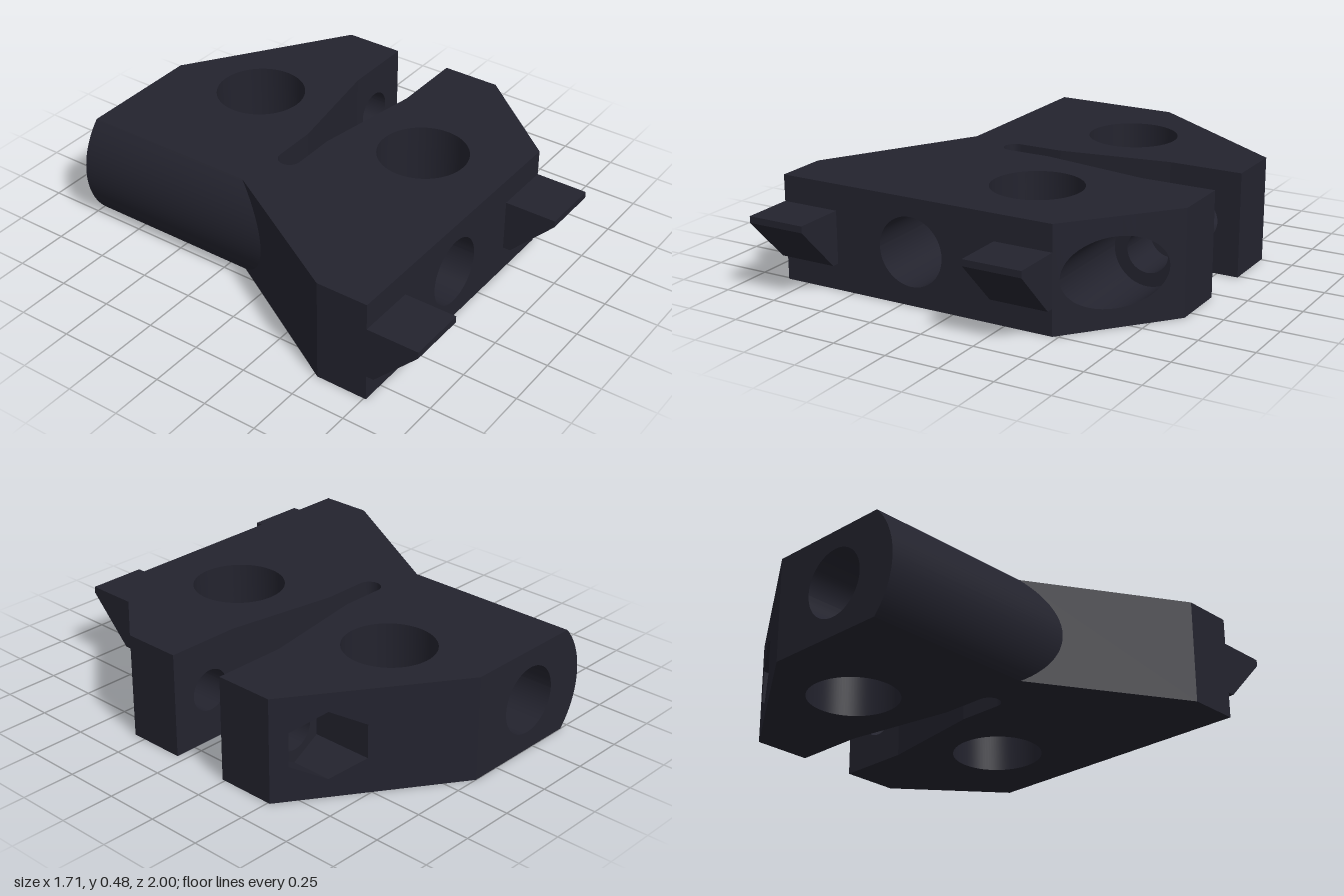
import * as THREE from 'three';
import { toCreasedNormals } from 'three/addons/utils/BufferGeometryUtils.js';

const H = 0.48, MID = H / 2;      // plate height, height of the cross bores
const BORE = -0.205, SCREW = 0.65; // x of the two bores that run front to back
const SPLIT_L = -0.04, SPLIT_R = 0.43;

const half = (x, c, r) => Math.sqrt(Math.max(0, r * r - (x - c) ** 2));
const arc = (c, r, n = 26) => Array.from({ length: n + 1 }, (_, i) => c - r * Math.cos((Math.PI * i) / n));

// Plan outline, as z for a given x
const sideSlant = x => 0.52 - (x + 0.855) * 1.705;
const backEdge = x => (x < 0.135 ? -1 : -1 + (x - 0.135) * 0.685);
const frontEdge = x => (x < 0.475 ? 0.76 : 0.76 - (x - 0.475) * 1.2);
const slotHalf = x => (x < BORE ? half(x, BORE, 0.0525) : 0.0525);
const flare = x => 0.167 * Math.min(Math.max(x, 0), 0.51);
const slotBack = x => -0.0975 - slotHalf(x) - flare(x);
const slotFront = x => -0.0975 + slotHalf(x) + flare(x);

// Hole half-heights at a given x
const bore = x => half(x, BORE, 0.155);
const screw = x => half(x, SCREW, 0.095);
const counterbore = x => half(x, SCREW, 0.155);
const hex = x => 0.155 - Math.abs(x - SCREW) * Math.tan(Math.PI / 6);

// Solid swept along x whose y and z limits are functions of x
function sweep(xs, a, b, lo, hi, back, front) {
  const list = [...new Set([a, ...xs.filter(x => x > a + 1e-5 && x < b - 1e-5), b])].sort((p, q) => p - q);
  const pos = [];
  const quad = (p, q, r, s) => pos.push(...p, ...q, ...r, ...p, ...r, ...s);
  const rings = list.map(x => [
    [x, lo(x), front(x)], [x, lo(x), back(x)], [x, hi(x), back(x)], [x, hi(x), front(x)]]);
  for (let i = 0; i < rings.length - 1; i++) {
    const r = rings[i], s = rings[i + 1];
    for (let k = 0; k < 4; k++) quad(r[k], r[(k + 1) % 4], s[(k + 1) % 4], s[k]);
  }
  const f = rings[0], e = rings[rings.length - 1];
  quad(f[3], f[2], f[1], f[0]);
  quad(e[0], e[1], e[2], e[3]);
  const g = new THREE.BufferGeometry();
  g.setAttribute('position', new THREE.Float32BufferAttribute(pos, 3));
  return g;
}

export function createModel() {
  const model = new THREE.Group();
  model.name = 'clampPlate';
  const dark = new THREE.MeshStandardMaterial({ color: 0x23232e });
  dark.name = 'darkPlastic';
  const add = (name, geometry) => {
    const mesh = new THREE.Mesh(toCreasedNormals(geometry, 0.15), dark);
    mesh.name = name;
    model.add(mesh);
  };
  const zero = () => 0, top = () => H;

  // Block pierced by a hole: one sweep above it and one below
  const pierced = (name, xs, a, b, hole, back, front) => {
    add(name + 'Upper', sweep(xs, a, b, x => MID + hole(x), top, back, front));
    add(name + 'Lower', sweep(xs, a, b, zero, x => MID - hole(x), back, front));
  };

  // Left part: slanted wing, rounded edge around the long bore, slot end
  const ROUND = 0.345, flat = BORE - half(MID, 0, ROUND);
  const flatX = BORE - Math.sqrt(ROUND ** 2 - MID ** 2);
  add('slantedWing', sweep([], -0.855, flatX, zero, top, sideSlant, frontEdge));
  add('roundedEdge', sweep(arc(BORE, ROUND, 48), BORE - ROUND, flatX,
    x => MID - Math.min(MID, half(x, BORE, ROUND)), x => MID + Math.min(MID, half(x, BORE, ROUND)),
    backEdge, sideSlant));
  const boreXs = [...arc(BORE, 0.155), ...arc(BORE, 0.0525).filter(x => x <= BORE)];
  const slotEnd = BORE - 0.0525;
  pierced('boreBlock', boreXs, flatX, slotEnd, bore, backEdge, frontEdge);
  pierced('boreBackArm', boreXs, slotEnd, SPLIT_L, bore, backEdge, slotBack);
  pierced('boreFrontArm', boreXs, slotEnd, SPLIT_L, bore, slotFront, frontEdge);

  // Middle part: two arms, each with a large vertical hole
  const arm = (name, points, holeZ) => {
    const shape = new THREE.Shape(points.map(p => new THREE.Vector2(...p)));
    shape.holes.push(new THREE.Path().absarc(0.17, holeZ, 0.205, 0, Math.PI * 2, true));
    const g = new THREE.ExtrudeGeometry(shape, { depth: H, bevelEnabled: false, curveSegments: 52 });
    add(name, g.rotateX(Math.PI / 2).translate(0, H, 0));
  };
  arm('backArm', [[SPLIT_L, -1], [0.135, -1], [SPLIT_R, backEdge(SPLIT_R)],
    [SPLIT_R, slotBack(SPLIT_R)], [0, -0.15], [SPLIT_L, -0.15]], -0.545);
  arm('frontArm', [[SPLIT_L, -0.045], [0, -0.045], [SPLIT_R, slotFront(SPLIT_R)],
    [SPLIT_R, 0.76], [SPLIT_L, 0.76]], 0.35);

  // Right part: clamp ends with screw hole, counterbore and hexagonal nut pocket
  const screwXs = [0.475, 0.51, ...arc(SCREW, 0.095)], END = 0.85;
  const seat = () => 0.26, nutFloor = () => -0.455;
  pierced('frontClamp', screwXs, SPLIT_R, END, screw, slotFront, seat);
  pierced('counterbore', [0.475, ...arc(SCREW, 0.155)], SPLIT_R, END, counterbore, seat, frontEdge);
  pierced('backClamp', screwXs, SPLIT_R, END, screw, nutFloor, slotBack);
  const flatHalf = 0.155 * Math.cos(Math.PI / 6);
  add('nutPocketInner', sweep([], SPLIT_R, SCREW - flatHalf, zero, top, backEdge, nutFloor));
  pierced('nutPocket', [SCREW], SCREW - flatHalf, SCREW + flatHalf, hex, backEdge, nutFloor);
  add('nutPocketOuter', sweep([], SCREW + flatHalf, END, zero, top, backEdge, nutFloor));

  // Wedge tabs on the front
  const wedge = new THREE.Shape([[0.76, 0.12], [0.795, 0.12], [1, 0.33], [1, 0.36], [0.76, 0.36]]
    .map(p => new THREE.Vector2(...p)));
  for (const [name, x] of [['rightTab', -0.583], ['leftTab', 0.475]]) {
    const g = new THREE.ExtrudeGeometry(wedge, { depth: 0.272, bevelEnabled: false });
    add(name, g.rotateY(-Math.PI / 2).translate(x, 0, 0));
  }
  return model;
}
